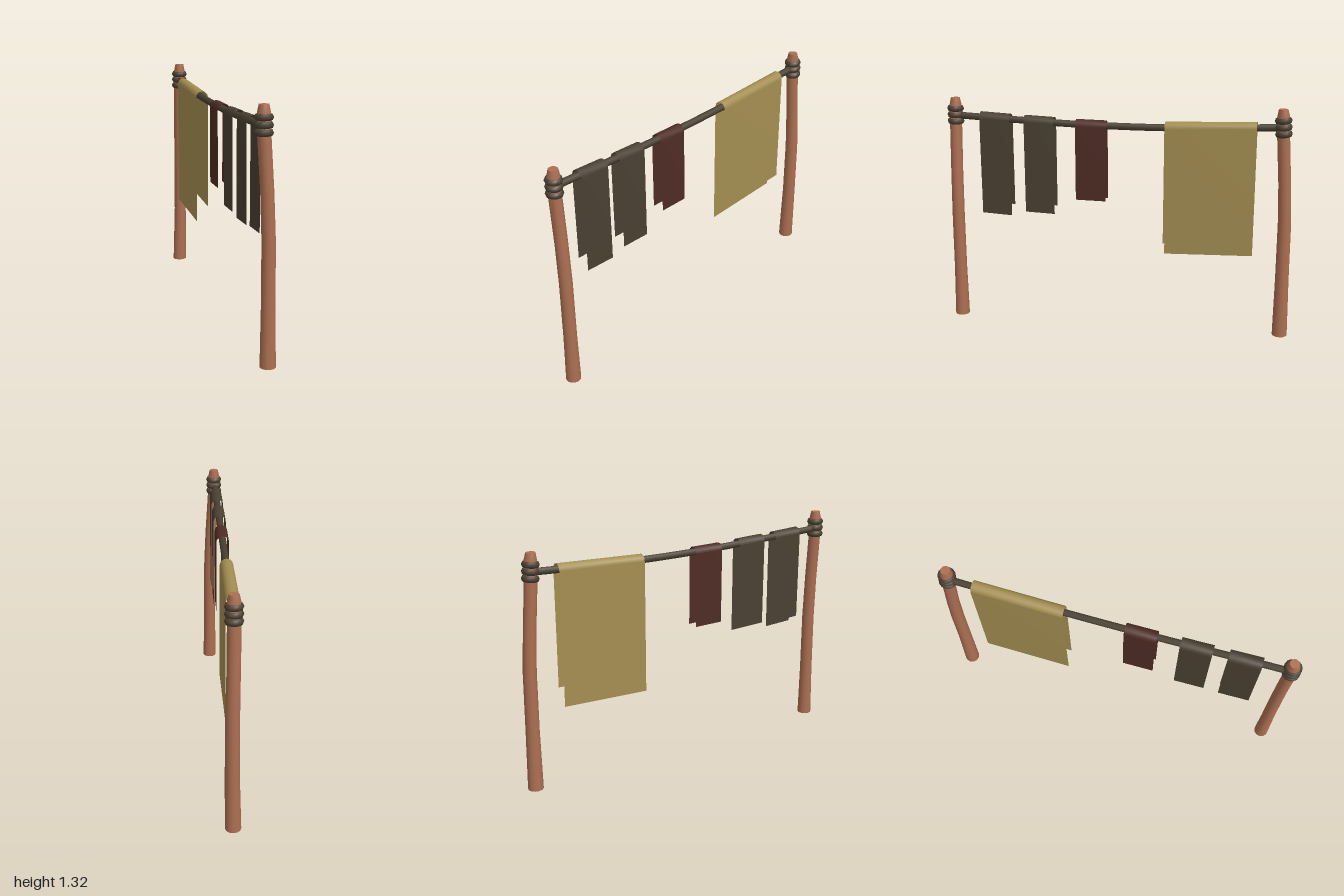
import * as THREE from 'three';
import { toCreasedNormals } from 'three/addons/utils/BufferGeometryUtils.js';

const material = (name, color, side = THREE.FrontSide) =>
  new THREE.MeshStandardMaterial({ name, color, side });

// Tapered, bent log: a cylinder whose rows follow [x, y, z, radius] sections
function logGeometry(sections) {
  const n = sections.length - 1;
  const geo = new THREE.CylinderGeometry(1, 1, 1, 12, n);
  const p = geo.attributes.position;
  for (let i = 0; i < p.count; i++) {
    const [x, y, z, r] = sections[Math.round((p.getY(i) + 0.5) * n)];
    p.setXYZ(i, x + p.getX(i) * r, y, z + p.getZ(i) * r);
  }
  return toCreasedNormals(geo, 0.75);
}

// Cloth folded over the rope; each end is { z, top, right, left } (hem heights)
function clothGeometry(a, b) {
  const cx = -0.018, r = 0.036, steps = 6;
  const pos = [], index = [];
  const section = (e) => {
    pos.push(cx + r, e.right, e.z);
    for (let i = 0; i <= steps; i++) {
      const t = (i / steps) * Math.PI;
      pos.push(cx + r * Math.cos(t), e.top - r + r * Math.sin(t), e.z);
    }
    pos.push(cx - r + 0.002, e.left, e.z);
  };
  section(a);
  section(b);
  const n = steps + 3;
  for (let i = 0; i < n - 1; i++) {
    index.push(i, n + i, i + 1, i + 1, n + i, n + i + 1);
  }
  // wind the faces outward, with a at the greater z
  for (let i = 0; i < index.length; i += 3) {
    [index[i + 1], index[i + 2]] = [index[i + 1], index[i + 2]];
  }
  const geo = new THREE.BufferGeometry();
  geo.setAttribute('position', new THREE.Float32BufferAttribute(pos, 3));
  geo.setIndex(index);
  geo.computeVertexNormals();
  return geo;
}

export function createModel() {
  const wood = material('wood', 0xac6f52);
  const dark = material('dark rope', 0x4a4032);
  const darkCloth = material('dark cloth', 0x4a4032, THREE.DoubleSide);
  const redCloth = material('red cloth', 0x4f2c25, THREE.DoubleSide);
  const tanCloth = material('tan cloth', 0xa48e51, THREE.DoubleSide);

  const model = new THREE.Group();
  model.name = 'clothesline';
  const add = (name, geo, mat, parent = model) => {
    const mesh = new THREE.Mesh(geo, mat);
    mesh.name = name;
    parent.add(mesh);
    return mesh;
  };

  // Posts: slightly crooked logs with a chamfered tip
  const posts = {
    frontPost: {
      tilt: 0.03,
      sections: [
        [0.019, 0, 0.957, 0.042], [0.018, 0.3, 0.955, 0.037], [0.017, 0.65, 0.953, 0.036],
        [0.007, 0.9, 0.952, 0.035], [-0.01, 1.16, 0.951, 0.035],
        [-0.013, 1.275, 0.95, 0.036], [-0.013, 1.322, 0.949, 0.026],
      ],
    },
    backPost: {
      tilt: -0.09,
      sections: [
        [-0.013, 0, -0.956, 0.043], [-0.007, 0.35, -0.954, 0.038], [-0.007, 0.68, -0.952, 0.037],
        [-0.011, 0.9, -0.942, 0.035], [-0.014, 1.16, -0.923, 0.035],
        [-0.013, 1.275, -0.918, 0.036], [-0.013, 1.322, -0.915, 0.026],
      ],
    },
  };
  for (const [name, { tilt, sections }] of Object.entries(posts)) {
    const group = new THREE.Group();
    group.name = name;
    model.add(group);
    add('log', logGeometry(sections), wood, group);
    // Three rope wraps near the tip
    const [, , zTop] = sections[5];
    const [, , zLow] = sections[4];
    for (let i = 0; i < 3; i++) {
      const ring = add('ropeWrap', new THREE.TorusGeometry(0.029, 0.019, 8, 14), dark, group);
      ring.position.set(-0.013, 1.187 + i * 0.037, zLow + (zTop - zLow) * (i / 2));
      ring.rotation.x = Math.PI / 2 - tilt;
    }
  }

  // Sagging rope between the posts
  const rope = new THREE.CatmullRomCurve3([
    [0.94, 1.219], [0.6, 1.206], [0.3, 1.195], [0, 1.191], [-0.3, 1.194], [-0.6, 1.205], [-0.92, 1.221],
  ].map(([z, y]) => new THREE.Vector3(-0.018, y, z)));
  add('rope', new THREE.TubeGeometry(rope, 24, 0.02, 8), dark);

  // Hanging cloths, each given by its two side edges
  const cloths = [
    ['outerDarkCloth', darkCloth,
      { z: 0.8, top: 1.247, right: 0.649, left: 0.697 }, { z: 0.623, top: 1.239, right: 0.641, left: 0.689 }],
    ['innerDarkCloth', darkCloth,
      { z: 0.538, top: 1.236, right: 0.669, left: 0.7 }, { z: 0.365, top: 1.23, right: 0.664, left: 0.695 }],
    ['redCloth', redCloth,
      { z: 0.238, top: 1.224, right: 0.758, left: 0.759 }, { z: 0.064, top: 1.222, right: 0.757, left: 0.757 }],
    ['tanBlanket', tanCloth,
      { z: -0.27, top: 1.228, right: 0.525, left: 0.438 }, { z: -0.778, top: 1.247, right: 0.545, left: 0.456 }],
  ];
  for (const [name, mat, a, b] of cloths) add(name, clothGeometry(a, b), mat);

  return model;
}
